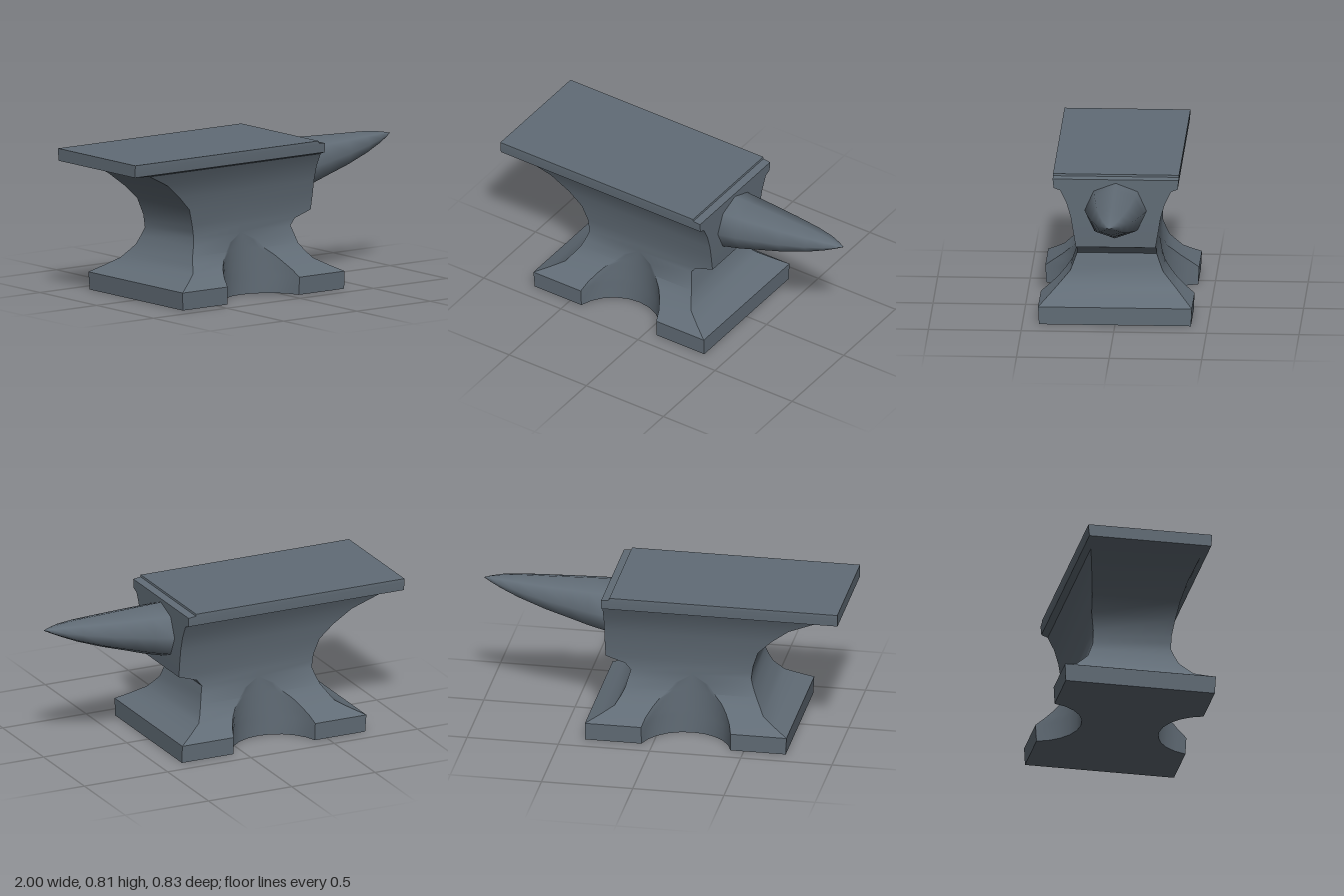
import * as THREE from 'three';
import { toCreasedNormals } from 'three/addons/utils/BufferGeometryUtils.js';

// Skin between closed rings (each counterclockwise seen from the last ring), dropping collapsed triangles
function loft(rings, crease, caps = []) {
  const out = [];
  const tri = (a, b, c) => {
    const n = b.clone().sub(a).cross(c.clone().sub(a));
    if (n.length() > 1e-8) for (const p of [a, b, c]) out.push(p.x, p.y, p.z);
  };
  for (let r = 0; r < rings.length - 1; r++) {
    const lo = rings[r], hi = rings[r + 1];
    for (let i = 0; i < lo.length; i++) {
      const j = (i + 1) % lo.length;
      tri(lo[i], lo[j], hi[j]);
      tri(lo[i], hi[j], hi[i]);
    }
  }
  // Horizontal caps
  for (const { ring, up } of caps) {
    const flat = ring.map(p => new THREE.Vector2(p.x, -p.z));
    for (const [a, b, c] of THREE.ShapeUtils.triangulateShape(flat, [])) {
      if (up) tri(ring[a], ring[b], ring[c]);
      else tri(ring[a], ring[c], ring[b]);
    }
  }
  const g = new THREE.BufferGeometry();
  g.setAttribute('position', new THREE.Float32BufferAttribute(out, 3));
  return toCreasedNormals(g, crease);
}

// Rectangular section with a round notch scooped from the front and back
const NOTCH = { x: -0.183, z: 0.465, r: 0.25, steps: 10 };
function bodyRing([y, left, right, d]) {
  const phi = y < 0.34 ? Math.acos(Math.min(1, (NOTCH.z - d) / NOTCH.r)) : 0;
  const front = [new THREE.Vector3(left, y, d)];
  for (let i = 0; i <= NOTCH.steps; i++) {
    const a = phi * (2 * i / NOTCH.steps - 1);
    const z = phi ? NOTCH.z - NOTCH.r * Math.cos(a) : d;
    front.push(new THREE.Vector3(NOTCH.x + NOTCH.r * Math.sin(a), y, z));
  }
  front.push(new THREE.Vector3(right, y, d));
  const back = front.map(p => new THREE.Vector3(p.x, p.y, -p.z)).reverse();
  return [...front, ...back];
}

export function createModel() {
  const steel = new THREE.MeshStandardMaterial({ color: 0x616c76 });
  steel.name = 'steel grey';
  const group = new THREE.Group();
  group.name = 'anvil';
  const add = (name, geometry) => {
    const mesh = new THREE.Mesh(geometry, steel);
    mesh.name = name;
    group.add(mesh);
  };

  // Foot, waist and face: height, left x, right x, half depth
  const levels = [
    [0, -0.73, 0.37, 0.41],
    [0.097, -0.735, 0.37, 0.415],
    [0.135, -0.66, 0.295, 0.367],
    [0.174, -0.59, 0.225, 0.32],
    [0.212, -0.565, 0.2, 0.284],
    [0.25, -0.54, 0.18, 0.25],
    [0.297, -0.52, 0.168, 0.232],
    [0.343, -0.505, 0.155, 0.215],
    [0.38, -0.51, 0.185, 0.215],
    [0.415, -0.515, 0.293, 0.215],
    [0.505, -0.545, 0.295, 0.23],
    [0.58, -0.62, 0.295, 0.242],
    [0.66, -0.72, 0.295, 0.265],
    [0.732, -0.87, 0.295, 0.3],
    [0.745, -1, 0.295, 0.335],
    [0.795, -1, 0.295, 0.34],
    [0.801, -1, 0.252, 0.34],
    [0.812, -1, 0.25, 0.34],
  ];
  const rings = levels.map(bodyRing);
  add('body', loft(rings, 0.75, [
    { ring: rings[0], up: false },
    { ring: rings[rings.length - 1], up: true },
  ]));

  // Tapering eight-sided horn: x, bottom y, top y, half width
  const hornRings = [
    [0.285, 0.467, 0.776, 0.168],
    [0.4, 0.497, 0.772, 0.155],
    [0.5, 0.53, 0.768, 0.141],
    [0.65, 0.577, 0.762, 0.117],
    [0.8, 0.632, 0.757, 0.084],
    [0.9, 0.677, 0.748, 0.054],
    [0.96, 0.706, 0.737, 0.025],
    [1, 0.727, 0.727, 0],
  ].map(([x, low, high, w]) => Array.from({ length: 8 }, (_, i) => {
    const a = i * Math.PI / 4;
    return new THREE.Vector3(x, (low + high) / 2 + Math.sin(a) * (high - low) / 2, -Math.cos(a) * w);
  }));
  add('horn', loft(hornRings, 1.2));

  return group;
}
